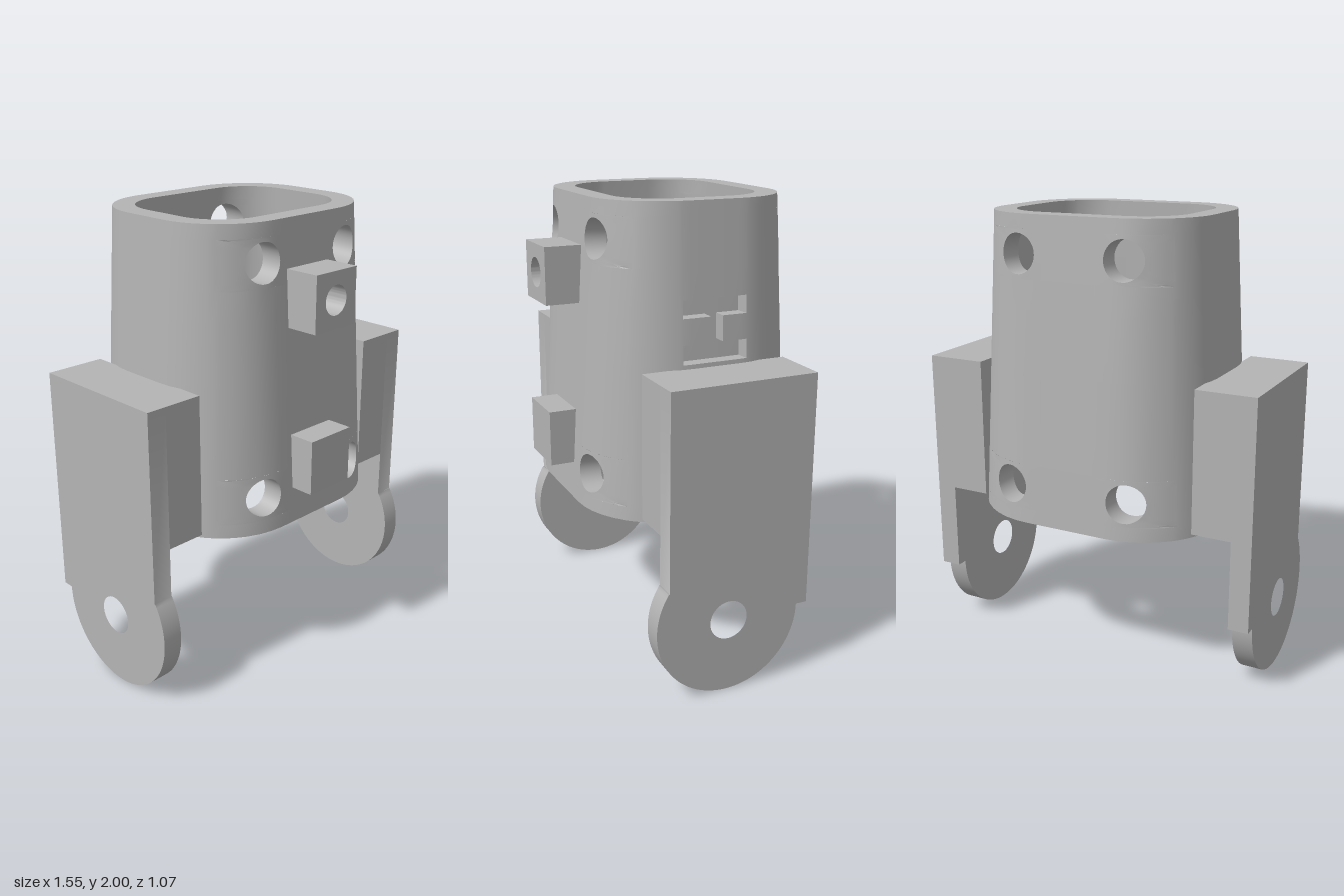
import * as THREE from 'three';
import { toCreasedNormals } from 'three/addons/utils/BufferGeometryUtils.js';

// Sleeve cross-section: a core rectangle offset outward by a radius that tapers with height
const HX = 0.187, HZ = 0.11, ZC = -0.05, K = 0.35, ARC = K * Math.PI / 2;
const HALF = 2 * HX + 2 * ARC + 2 * HZ;
const Y0 = 0.7, Y1 = 2, WALL = -0.095, ENGRAVE = -0.06;
const radius = (y) => 0.3 + 0.075 * (Y1 - y) / (Y1 - Y0);

// Point on the sleeve: u runs around it (0 = front centre, + toward +x)
function point(u, y, off) {
  const r = radius(y) + off, sign = u < 0 ? -1 : 1;
  let a = Math.abs(u), x, z;
  if (a < HX) { x = a; z = HZ + r; }
  else if ((a -= HX) < ARC) { x = HX + Math.sin(a / K) * r; z = HZ + Math.cos(a / K) * r; }
  else if ((a -= ARC) < 2 * HZ) { x = HX + r; z = HZ - a; }
  else if ((a -= 2 * HZ) < ARC) { x = HX + Math.cos(a / K) * r; z = -HZ - Math.sin(a / K) * r; }
  else { x = HX - (a - ARC); z = -HZ - r; }
  return [sign * x, y, z + ZC];
}

// u of the sleeve point with a given x, on the front or back half
function uAtX(x, y, off, back) {
  const a = Math.abs(x), r = radius(y) + off;
  const u = a < HX ? a : HX + K * Math.asin((a - HX) / r);
  return Math.sign(x) * (back ? HALF - u : u);
}

function sleeveGeometry() {
  const pos = [];
  const quad = (a, b, c, d) => pos.push(...a, ...b, ...c, ...a, ...c, ...d);

  // Eight round holes, each in its own rectangular cell
  const holes = [];
  for (const back of [false, true]) for (const s of [1, -1])
    for (const [cx, cy, ya, yb] of [[0.24, 1.84, 1.74, 1.94], [0.275, 0.86, 0.76, 0.96]]) {
      const e = [0.12, 0.48].map((u) => s * (back ? HALF - u : u)).sort((p, q) => p - q);
      holes.push({ back, cx: s * cx, cy, ua: e[0], ub: e[1], ya, yb });
    }

  // Grid lines
  const side = HX + ARC;
  const mark = [0.697, 0.824, 0.877, 0.987];
  const us = new Set([-HALF, 0, HALF, ...mark]);
  for (const s of [1, -1]) for (const m of [0, 1]) {
    for (const u of [0.12, 0.48]) us.add(s * (m ? HALF - u : u));
    for (let i = 0; i <= 10; i++) {
      const u = HX + ARC * i / 10;
      us.add(s * (m ? HALF - u : u));
    }
  }
  const U = [...us].sort((a, b) => a - b).filter((u, i, l) => i === 0 || u - l[i - 1] > 1e-6);
  const Y = [Y0, 0.76, 0.96, 1.358, 1.438, 1.544, 1.618, 1.74, 1.94, Y1];

  const inHole = (u, y) => holes.some((h) => u > h.ua && u < h.ub && y > h.ya && y < h.yb);
  // Sunken mark: two bars joined by a narrow web
  const sunk = (u, y) => u > mark[0] && u < mark[3] && y > Y[3] && y < Y[6] &&
    (y < Y[4] || y > Y[5] || (u > mark[1] && u < mark[2]));
  const mid = (l, i) => (l[i] + l[i + 1]) / 2;

  for (let i = 0; i < U.length - 1; i++) {
    const [a, b] = [U[i], U[i + 1]];
    for (let j = 0; j < Y.length - 1; j++) {
      const [c, d] = [Y[j], Y[j + 1]], u = mid(U, i), y = mid(Y, j);
      if (inHole(u, y)) continue;
      const cut = sunk(u, y), off = cut ? ENGRAVE : 0;
      const corners = [[a, c], [b, c], [b, d], [a, d]];
      quad(...corners.map((p) => point(...p, off)));
      quad(...corners.map((p) => point(...p, WALL)).reverse());
      if (!cut) continue;
      const next = [[u, mid(Y, j - 1)], [mid(U, i + 1), y], [u, mid(Y, j + 1)], [mid(U, i - 1), y]];
      next.forEach((n, k) => {
        if (sunk(...n)) return;
        const p = corners[k], q = corners[(k + 1) % 4];
        quad(point(...q, off), point(...p, off), point(...p, 0), point(...q, 0));
      });
    }
    // Rims
    quad(point(a, Y1, 0), point(b, Y1, 0), point(b, Y1, WALL), point(a, Y1, WALL));
    quad(point(b, Y0, 0), point(a, Y0, 0), point(a, Y0, WALL), point(b, Y0, WALL));
  }

  // Hole cells: rings from the circle out to the cell edge, plus the bore
  const N = 40, RINGS = 4, R = 0.083;
  for (const h of holes) {
    const at = (j, k, off) => {
      const t = j / N * Math.PI * 2, c = Math.cos(t), s = Math.sin(t);
      const m = Math.max(Math.abs(c), Math.abs(s)), f = k / RINGS;
      const y = h.cy + R * s, u = uAtX(h.cx + (h.back ? -1 : 1) * R * c, y, off, h.back);
      const eu = (h.ua + h.ub) / 2 + (h.ub - h.ua) / 2 * c / m;
      const ey = (h.ya + h.yb) / 2 + (h.yb - h.ya) / 2 * s / m;
      return point(u + (eu - u) * f, y + (ey - y) * f, off);
    };
    for (let j = 0; j < N; j++) {
      for (let k = 0; k < RINGS; k++) {
        quad(at(j, k, 0), at(j, k + 1, 0), at(j + 1, k + 1, 0), at(j + 1, k, 0));
        quad(at(j + 1, k, WALL), at(j + 1, k + 1, WALL), at(j, k + 1, WALL), at(j, k, WALL));
      }
      quad(at(j, 0, 0), at(j + 1, 0, 0), at(j + 1, 0, WALL), at(j, 0, WALL));
    }
  }
  const g = new THREE.BufferGeometry();
  g.setAttribute('position', new THREE.Float32BufferAttribute(pos, 3));
  return toCreasedNormals(g, 0.6);
}

const circle = (x, y, r) => new THREE.Path().absarc(x, y, r, 0, Math.PI * 2, true);
const extrude = (shape, depth) =>
  toCreasedNormals(new THREE.ExtrudeGeometry(shape, { depth, bevelEnabled: false, curveSegments: 32 }), 0.6);

// Inner floor with two slanted bores
function floorGeometry() {
  const r = radius(1.3) - 0.07, s = new THREE.Shape();
  s.absarc(HX, ZC + HZ, r, 0, Math.PI / 2);
  s.absarc(-HX, ZC + HZ, r, Math.PI / 2, Math.PI);
  s.absarc(-HX, ZC - HZ, r, Math.PI, Math.PI * 1.5);
  s.absarc(HX, ZC - HZ, r, Math.PI * 1.5, Math.PI * 2);
  s.holes.push(circle(0, 0.137, 0.122), circle(0, -0.197, 0.06));
  const g = new THREE.ExtrudeGeometry(s, { depth: 0.2, bevelEnabled: false, curveSegments: 32 });
  g.rotateX(Math.PI / 2).translate(0, 1.4, 0);
  const p = g.attributes.position;
  for (let i = 0; i < p.count; i++)
    if (p.getY(i) < 1.3 && Math.abs(p.getX(i)) < 0.13)
      p.setZ(i, p.getZ(i) + (p.getZ(i) > 0 ? 0.087 : -0.07));
  return toCreasedNormals(g, 0.6);
}

// Pivot plate, drawn in the z-y plane
function plateGeometry() {
  const s = new THREE.Shape();
  s.moveTo(-0.37, 1.34);
  s.lineTo(0.275, 1.34);
  s.lineTo(0.275, 0.5);
  s.absarc(0.005, 0.325, 0.325, 0.575, -Math.PI, true);
  s.lineTo(-0.37, 0.325);
  s.holes.push(circle(0.005, 0.325, 0.085));
  return extrude(s, 0.09).rotateY(-Math.PI / 2);
}

export function createModel() {
  const model = new THREE.Group();
  const grey = new THREE.MeshStandardMaterial({ color: 0xb4b4b4 });
  grey.name = 'grey';
  const add = (name, geometry, x = 0, y = 0, z = 0) => {
    const m = new THREE.Mesh(geometry, grey);
    m.name = name;
    m.position.set(x, y, z);
    model.add(m);
  };

  add('sleeve', sleeveGeometry());
  add('innerFloor', floorGeometry());

  // Side blocks with pivot plates
  const plate = plateGeometry(), block = new THREE.BoxGeometry(0.175, 0.62, 0.645);
  for (const [side, s] of [['left', 1], ['right', -1]]) {
    add(side + 'Block', block, s * 0.5975, 1.03, -0.0475);
    add(side + 'PivotPlate', plate, s > 0 ? 0.775 : -0.685);
  }

  // Front lugs, the upper one bored
  const lug = new THREE.Shape();
  lug.moveTo(-0.12, -0.12);
  lug.lineTo(0.12, -0.12);
  lug.lineTo(0.12, 0.12);
  lug.lineTo(-0.12, 0.12);
  lug.holes.push(circle(0, 0, 0.063));
  add('upperLug', extrude(lug, 0.17), 0, 1.68, 0.36);
  add('lowerLug', new THREE.BoxGeometry(0.24, 0.24, 0.13), 0, 0.98, 0.465);
  return model;
}
